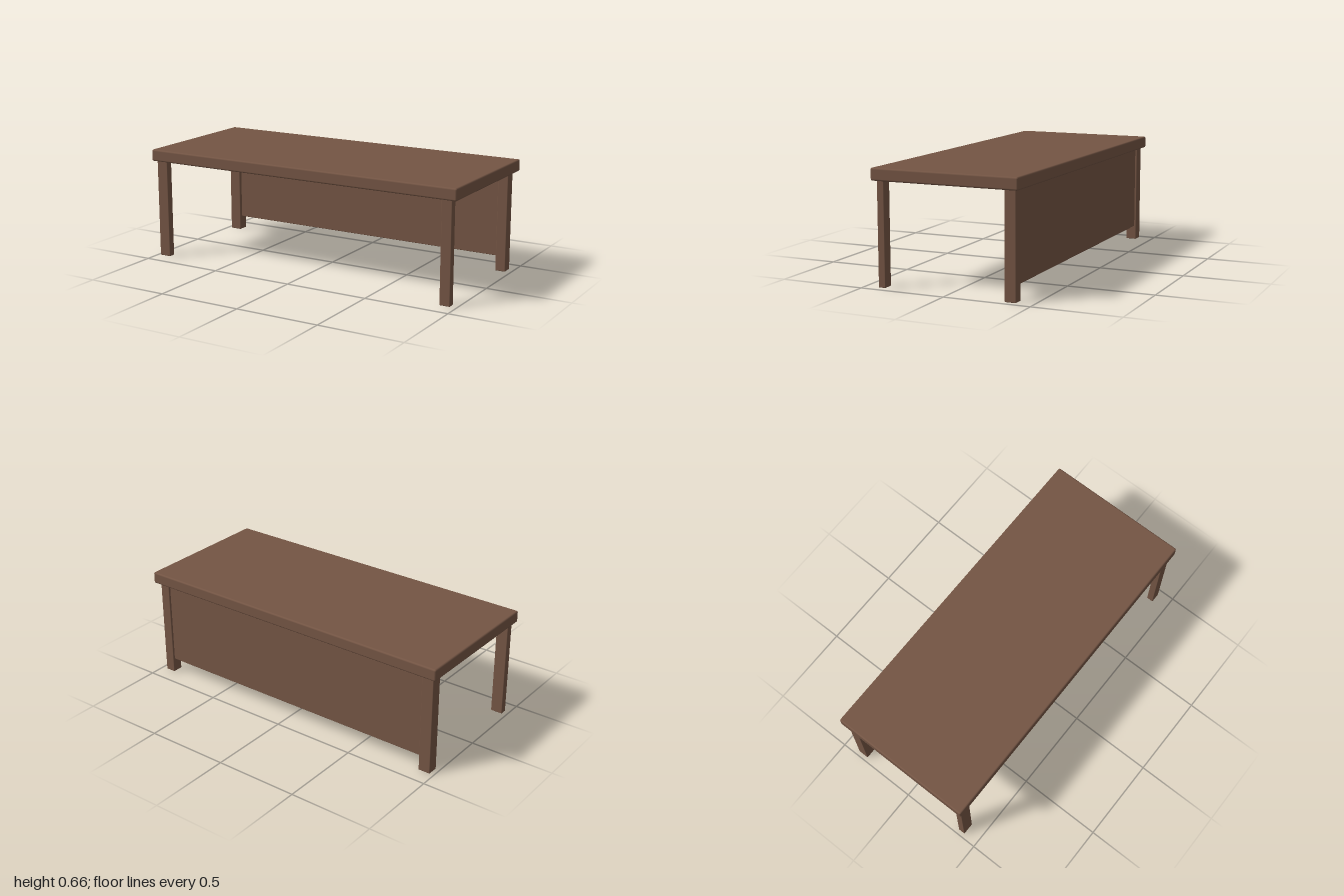
import * as THREE from 'three';
import { RoundedBoxGeometry } from 'three/addons/geometries/RoundedBoxGeometry.js';

export function createModel() {
  const model = new THREE.Group();
  model.name = 'desk';
  const wood = new THREE.MeshStandardMaterial({ color: 0x745544 });
  wood.name = 'brown wood';

  // Softly edged board spanning the given [min, max] ranges
  function board(name, [x0, x1], [y0, y1], [z0, z1], radius) {
    const geometry = new RoundedBoxGeometry(x1 - x0, y1 - y0, z1 - z0, 2, radius);
    const mesh = new THREE.Mesh(geometry, wood);
    mesh.name = name;
    mesh.position.set((x0 + x1) / 2, (y0 + y1) / 2, (z0 + z1) / 2);
    model.add(mesh);
  }

  // Table top
  board('tableTop', [-1, 1], [0.59, 0.66], [-0.43, 0.43], 0.01);

  // Slim front legs and deeper back legs, tucked into the top
  const sides = { left: [0.905, 0.967], right: [-0.975, -0.903] };
  for (const [side, x] of Object.entries(sides)) {
    board(`${side}FrontLeg`, x, [0.004, 0.6], [0.368, 0.41], 0.004);
    board(`${side}BackLeg`, x, [0, 0.6], [-0.405, -0.34], 0.004);
  }

  // Modesty panel between the back legs
  board('backPanel', [-0.91, 0.91], [0.085, 0.6], [-0.393, -0.36], 0.003);

  return model;
}
